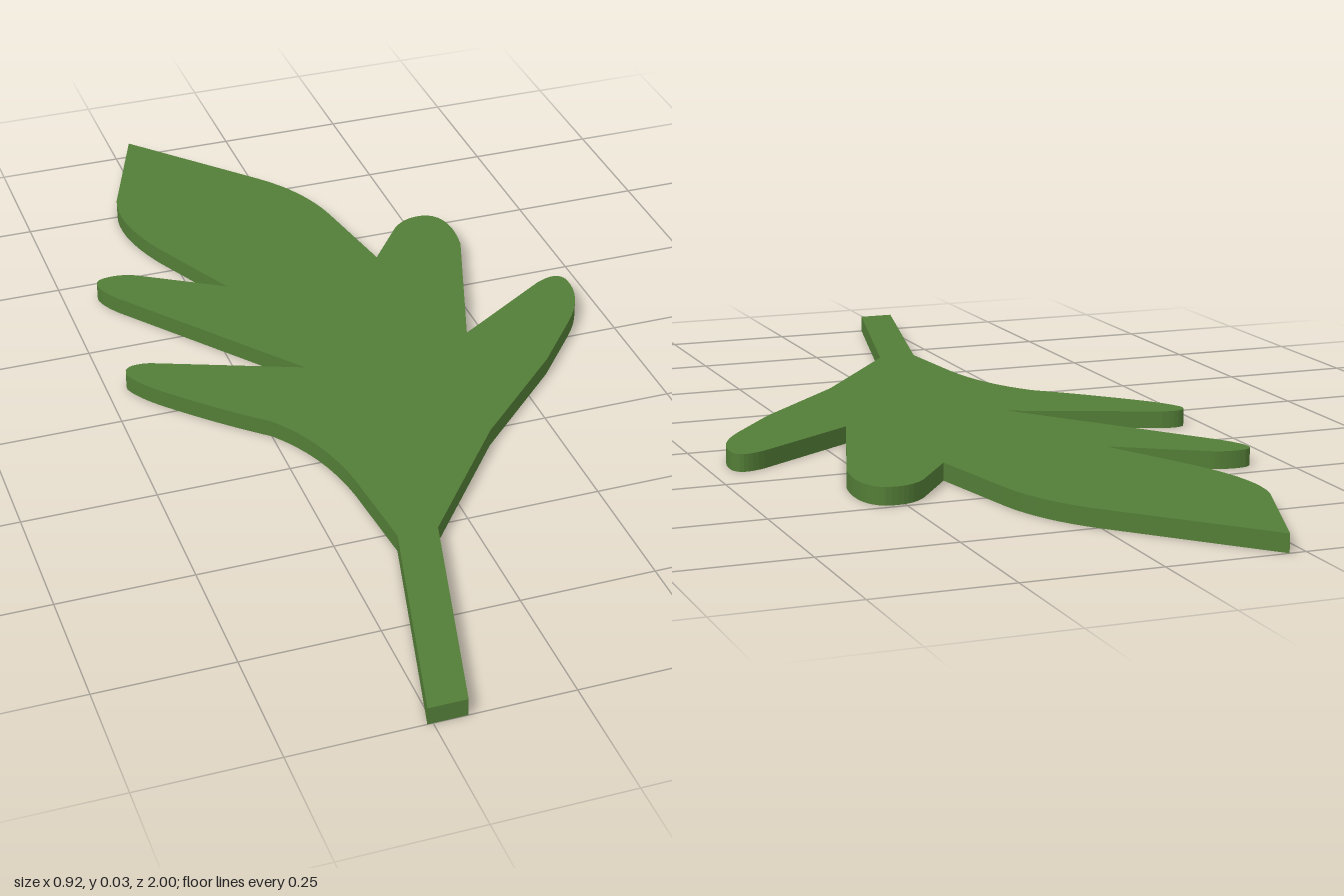
import * as THREE from 'three';

const THICKNESS = 0.033;

// Outline as steps in plan (x, z): 2 numbers = straight edge,
// 4 = quadratic curve, 6 = cubic curve.
const OUTLINE = [
  // left of the stem and flare into the blade
  [-0.15, 0.55],
  [-0.165, 0.37],
  [-0.18, 0.23, -0.25, 0.14],
  // lower left lobe
  [-0.33, 0.07, -0.41, -0.02],
  [-0.45, -0.065, -0.462, -0.1],
  [-0.465, -0.14, -0.41, -0.127],
  [-0.135, -0.015],
  // upper left lobe
  [-0.41, -0.38],
  [-0.46, -0.46, -0.405, -0.463],
  [-0.37, -0.465, -0.345, -0.448],
  [-0.19, -0.35],
  // pointed end lobe
  [-0.28, -0.54],
  [-0.335, -0.67, -0.31, -0.76],
  [-0.22, -1],
  [0.0, -0.755],
  [0.075, -0.67, 0.095, -0.56],
  [0.13, -0.36],
  // upper right lobe
  [0.205, -0.46],
  [0.24, -0.5, 0.285, -0.488],
  [0.33, -0.465, 0.31, -0.355],
  [0.2, -0.03],
  // lower right lobe
  [0.4, -0.16],
  [0.455, -0.19, 0.46, -0.15],
  [0.465, -0.08, 0.4, 0.0],
  [0.31, 0.11],
  // right edge down to the stem
  [0.2, 0.22, 0.12, 0.3],
  [-0.075, 0.55],
  [-0.19, 1],
];

export function createModel() {
  const model = new THREE.Group();
  model.name = 'leaf';

  const leafGreen = new THREE.MeshStandardMaterial({ color: 0x537d37 });
  leafGreen.name = 'leaf green';

  // Drawn with y = -z, so that laying it flat restores z
  const shape = new THREE.Shape();
  shape.moveTo(-0.26, 1 * -1);
  for (const step of OUTLINE) {
    const p = step.map((v, i) => (i % 2 ? -v : v));
    if (p.length === 2) shape.lineTo(...p);
    else if (p.length === 4) shape.quadraticCurveTo(...p);
    else shape.bezierCurveTo(...p);
  }
  shape.closePath();

  // Leaf blade and stem in one flat slab
  const geometry = new THREE.ExtrudeGeometry(shape, {
    depth: THICKNESS,
    bevelEnabled: false,
    curveSegments: 8,
  });
  geometry.rotateX(-Math.PI / 2);

  const blade = new THREE.Mesh(geometry, leafGreen);
  blade.name = 'leafBladeAndStem';
  model.add(blade);
  return model;
}
